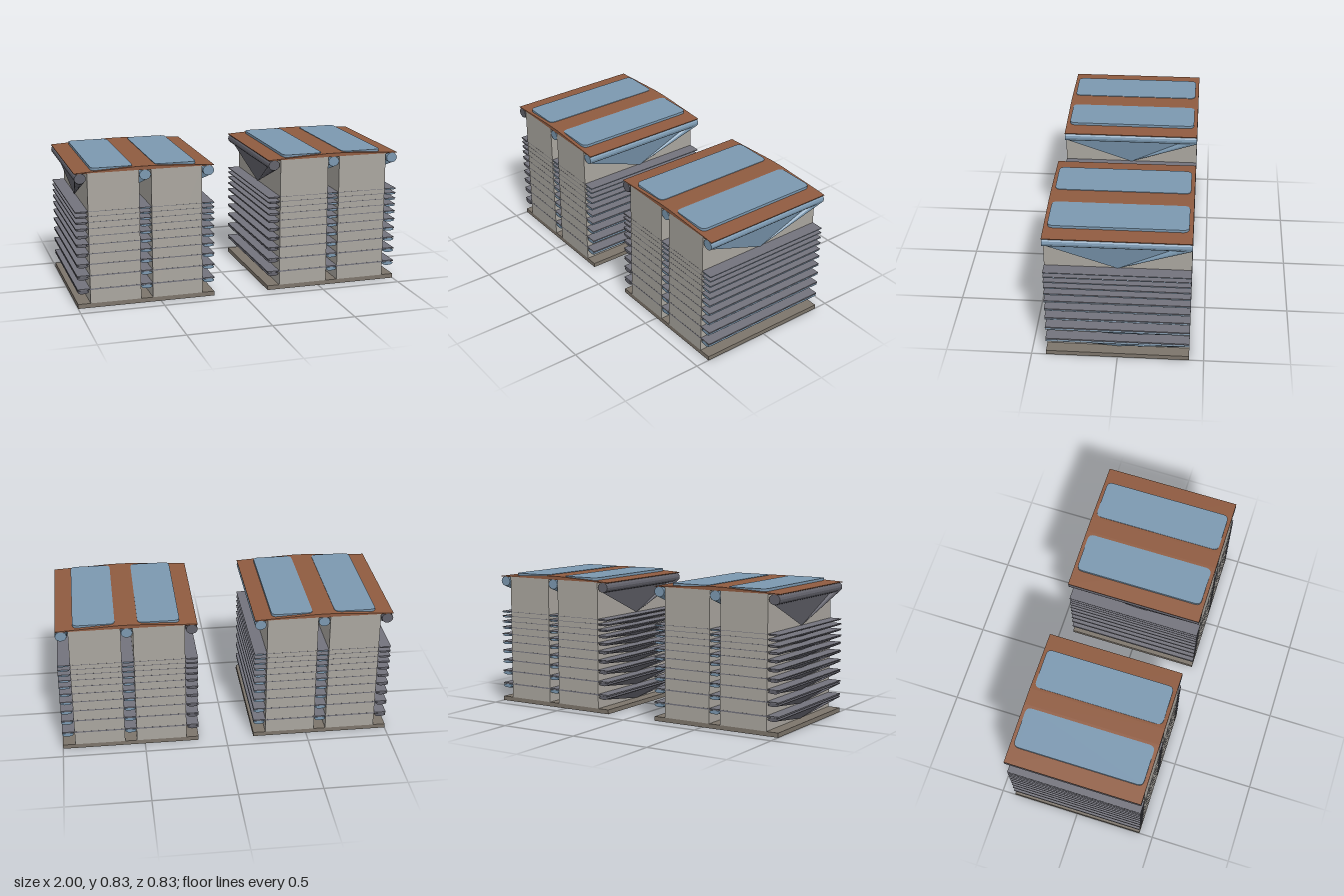
import * as THREE from 'three';

const mat = (color) => new THREE.MeshStandardMaterial({ color, flatShading: true, side: THREE.DoubleSide });
const HALF = 0.415; // half footprint of one block
const levels = [0.027, 0.118, 0.2, 0.27, 0.333, 0.39, 0.44, 0.484, 0.522, 0.556, 0.585];

function part(name, geometry, material, x = 0, y = 0, z = 0) {
  const mesh = new THREE.Mesh(geometry, material);
  mesh.name = name;
  mesh.position.set(x, y, z);
  return mesh;
}

const box = (name, w, y0, y1, d, material, x = 0) =>
  part(name, new THREE.BoxGeometry(w, y1 - y0, d), material, x, (y0 + y1) / 2, 0);

// Tube along z with a slanted cone from its rear end to a low apex, and a flat web below
function makeDuct(height, ratio) {
  const r = 0.034, ry = height * ratio, cy = height - ry, sides = 14;
  const apex = [-r, 0, 0];
  const pos = [];
  const ring = (i, z) => {
    const a = (i / sides) * Math.PI * 2;
    return [Math.cos(a) * r, cy + Math.sin(a) * ry, z];
  };
  for (let i = 0; i < sides; i++) {
    const a = ring(i, HALF), b = ring(i + 1, HALF);
    const c = ring(i, -HALF), d = ring(i + 1, -HALF);
    pos.push(...a, ...c, ...b, ...b, ...c, ...d); // tube wall
    pos.push(...a, ...b, 0, cy, HALF); // front cap
    pos.push(...d, ...c, 0, cy, -HALF); // rear cap
    pos.push(...c, ...apex, ...d); // cone
  }
  pos.push(0, cy - ry, HALF, ...apex, 0, cy - ry, -HALF); // web
  const g = new THREE.BufferGeometry();
  g.setAttribute('position', new THREE.Float32BufferAttribute(pos, 3));
  g.computeVertexNormals();
  return g;
}

// Solid low gable with a thin eave
function makeRoof() {
  const s = new THREE.Shape();
  s.moveTo(-HALF, 0.808);
  s.lineTo(HALF, 0.808);
  s.lineTo(HALF, 0.812);
  s.lineTo(0.05, 0.831);
  s.lineTo(-0.05, 0.831);
  s.lineTo(-HALF, 0.812);
  s.closePath();
  return new THREE.ExtrudeGeometry(s, { depth: HALF * 2, bevelEnabled: false }).translate(0, 0, -HALF);
}

// Flat roof panel with rounded corners
function makePanel() {
  const w = 0.123, d = 0.393, c = 0.035;
  const s = new THREE.Shape();
  s.moveTo(-w + c, -d);
  s.lineTo(w - c, -d);
  s.quadraticCurveTo(w, -d, w, -d + c);
  s.lineTo(w, d - c);
  s.quadraticCurveTo(w, d, w - c, d);
  s.lineTo(-w + c, d);
  s.quadraticCurveTo(-w, d, -w, d - c);
  s.lineTo(-w, -d + c);
  s.quadraticCurveTo(-w, -d, -w + c, -d);
  return new THREE.ExtrudeGeometry(s, { depth: 0.016, bevelEnabled: false, curveSegments: 4 }).rotateX(-Math.PI / 2);
}

export function createModel() {
  const stone = mat(0xaaa69f), base = mat(0x7d756b), plate = mat(0x73737c);
  const blue = mat(0x7b98b0), grey = mat(0x62626b), brown = mat(0x8f5b40);
  const roof = makeRoof(), panel = makePanel();
  const model = new THREE.Group();
  model.name = 'twinBlocks';

  for (const side of [-1, 1]) {
    const block = new THREE.Group();
    block.name = side < 0 ? 'rightBlock' : 'leftBlock';
    block.position.x = side * 0.585;

    block.add(box('baseSlab', HALF * 2, 0, 0.027, HALF * 2, base));
    for (const s of [-1, 1]) block.add(box('core', 0.304, 0.027, 0.81, HALF * 2, stone, s * 0.188));

    // Storeys get lower towards the top; the last one is tall and has no plate
    levels.forEach((y, i) => {
      const last = i === levels.length - 1;
      const top = last ? 0.81 : levels[i + 1];
      const slab = last ? 0 : (top - y) * 0.09;
      if (!last) block.add(box('floorPlate', HALF * 2 + 0.001, top - slab, top, HALF * 2 + 0.001, plate));
      const duct = makeDuct(top - y - slab, 0.135);
      const outer = part('sideDuct', duct, grey, -0.381, y);
      outer.rotation.y = Math.PI;
      block.add(outer);
      block.add(part('middleDuct', duct, blue, 0, y));
      block.add(part('sideDuct', duct, blue, 0.381, y));
    });

    block.add(part('roof', roof, brown));
    for (const s of [-1, 1]) block.add(part('roofPanel', panel, blue, s * 0.189, 0.8175));
    model.add(block);
  }
  return model;
}
